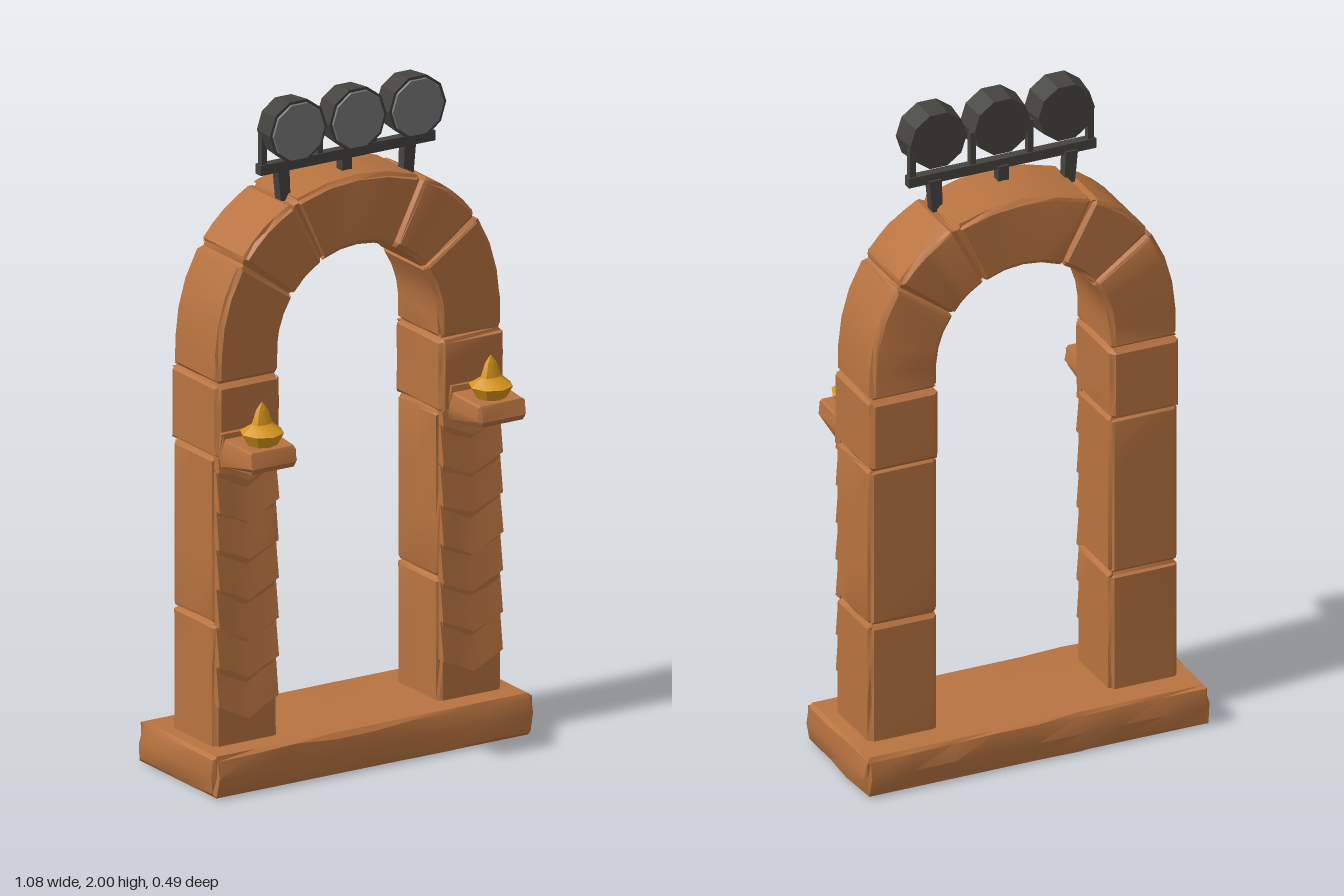
import * as THREE from 'three';
import { toCreasedNormals } from 'three/addons/utils/BufferGeometryUtils.js';

const material = (name, color) => Object.assign(new THREE.MeshStandardMaterial({ color }), { name });

// Repeatable number from 0 to 1 for a position, so shared corners stay together
function hash(x, y, z, k) {
  const r = (v) => Math.round(v * 1000);
  const s = Math.sin(r(x) * 12.99 + r(y) * 78.23 + r(z) * 37.72 + k * 11.13) * 4375.85;
  return s - Math.floor(s);
}

// Move every vertex of a geometry by a rule
function deform(geo, rule) {
  const p = geo.attributes.position;
  const v = new THREE.Vector3();
  for (let i = 0; i < p.count; i++) {
    v.fromBufferAttribute(p, i);
    rule(v);
    p.setXYZ(i, v.x, v.y, v.z);
  }
  return geo;
}

// Block with unevenly worn edges
function stone(w, h, d, segs, seed, bevel = 0.014) {
  const size = [w, h, d];
  const geo = new THREE.BoxGeometry(w, h, d, ...segs.map((n) => n + 2));
  return deform(geo, (v) => {
    const c = v.toArray();
    const edge = c.map((a, i) => Math.abs(a) > size[i] / 2 - 1e-4);
    const worn = edge.filter(Boolean).length > 1;
    const out = c.map((a, i) => {
      const half = size[i] / 2;
      const n = segs[i];
      if (edge[i]) {
        const wear = worn ? 0.2 + 0.7 * hash(...c, seed + i) : 0;
        return Math.sign(a) * (half - bevel * wear);
      }
      // Rows next to the ends sit just inside the bevel
      return n > 0 ? (a / (half * n / (n + 2))) * (half - bevel) : a;
    });
    v.fromArray(out);
  });
}

export function createModel() {
  const model = new THREE.Group();
  model.name = 'archway';
  const clay = material('clay stone', 0xb87340);
  const gold = material('gold', 0xd8961c);
  const dark = material('dark metal', 0x44433f);
  const lens = material('grey lens', 0x777777);

  function add(parent, name, geo, mat, x = 0, y = 0, z = 0) {
    const mesh = new THREE.Mesh(toCreasedNormals(geo, 0.5), mat);
    mesh.name = name;
    mesh.position.set(x, y, z);
    parent.add(mesh);
    return mesh;
  }

  // Base slab
  add(model, 'base', stone(1.08, 0.124, 0.412, [8, 0, 3], 1, 0.018), clay, 0, 0.062, -0.035);

  for (const side of [-1, 1]) {
    const pillar = new THREE.Group();
    pillar.name = side > 0 ? 'leftPillar' : 'rightPillar';
    pillar.position.x = side * 0.376;
    model.add(pillar);

    // Stacked pillar blocks
    [[0.11, 0.49, 0.222], [0.488, 0.985, 0.222], [0.98, 1.203, 0.246]].forEach(([y0, y1, d], i) => {
      add(pillar, 'pillarBlock', stone(0.214, y1 - y0, d, [1, 3, 2], 5 + i + side), clay,
        0, (y0 + y1) / 2, i === 2 ? -0.027 : -0.029);
    });

    // Overlapping V-shaped scales down the front
    for (let i = 0; i < 7; i++) {
      const scale = deform(new THREE.BoxGeometry(0.2, 0.115, 0.02, 4, 1, 1), (v) => {
        if (v.z > 0) v.z = v.y < 0 ? 0.018 + 0.005 * hash(v.x, i, side, 3) : 0.004;
        v.y += Math.abs(v.x) * 0.45 + 0.01 * (hash(v.x, i, side, 7) - 0.5);
      });
      add(pillar, 'chevronScale', scale, clay, 0, 0.257 + i * 0.117, 0.076);
    }

    // Bracket shelf, narrower to the front and underneath
    const shelf = deform(stone(0.18, 0.09, 0.16, [1, 0, 1], 20 + side, 0.012), (v) => {
      v.x *= 1 - (v.z + 0.08) * 0.7;
      if (v.y < 0) v.y += (v.z + 0.08) * 0.12;
      else v.y -= (v.z + 0.08) * 0.06;
    });
    add(pillar, 'shelf', shelf, clay, side * 0.008, 1.0, 0.164);
    add(pillar, 'shelfBack', stone(0.186, 0.11, 0.03, [1, 0, 0], 30 + side, 0.01), clay, side * 0.008, 1.01, 0.093);

    // Spiked gold ornament
    const profile = [[0, 0], [0.045, 0], [0.064, 0.035], [0.034, 0.06], [0.02, 0.1], [0, 0.125]]
      .map(([r, y]) => new THREE.Vector2(r, y));
    const flame = deform(new THREE.LatheGeometry(profile, 8), (v) => {
      if (v.y > 0.05) v.z *= 0.6;
    });
    add(pillar, 'flame', flame, gold, side * 0.008, 1.038, 0.175);
  }

  // Five arch stones, bent round the top and running straight down below the springing line
  const joints = [-1.735, -0.94, -0.46, 0.46, 0.94, 1.735];
  for (let i = 0; i < 5; i++) {
    const span = joints[i + 1] - joints[i];
    const mid = (joints[i] + joints[i + 1]) / 2;
    const rise = 0.208;
    const geo = deform(stone(span * 0.378, rise, 0.234, [4, 1, 2], 40 + i), (v) => {
      const a = mid + v.x / 0.378;
      const bulge = v.y > 0 ? 0.012 * Math.sin(2 * a) ** 2 : 0;
      const r = 0.374 + v.y + bulge;
      const t = Math.max(-Math.PI / 2, Math.min(Math.PI / 2, a));
      v.set(r * Math.sin(t), 1.262 + r * Math.cos(t) - Math.abs(a - t) * 0.378, v.z);
    });
    add(model, 'archStone', geo, clay, 0, 0, i === 2 ? -0.03 : -0.027);
  }

  // Lamp rack on the arch
  const rack = new THREE.Group();
  rack.name = 'lampRack';
  model.add(rack);
  add(rack, 'rackBar', new THREE.BoxGeometry(0.585, 0.03, 0.028), dark, 0, 1.79, 0.014);

  for (const x of [-0.205, 0, 0.205]) {
    const h = x ? 0.115 : 0.07;
    const post = deform(new THREE.BoxGeometry(0.032, h, 0.03), (v) => {
      if (x && v.y > 0) v.x = v.x * 1.2 - Math.sign(x) * -0.008;
    });
    add(rack, 'post', post, dark, x, 1.785 - h / 2, 0.008);
  }

  // Forks holding the lamps
  for (const x of [-0.278, -0.09, 0.09, 0.278]) {
    add(rack, 'fork', new THREE.BoxGeometry(0.018, 0.11, 0.02), dark, x, 1.85, 0.014);
  }

  // Round lamps with pale faces
  for (const x of [-0.2, 0, 0.2]) {
    const lamp = new THREE.Group();
    lamp.name = 'lamp';
    lamp.position.set(x, 1.906, 0);
    rack.add(lamp);
    const turn = Math.PI / 10;
    const body = new THREE.CylinderGeometry(0.096, 0.088, 0.08, 10, 1, false, turn).rotateX(Math.PI / 2);
    add(lamp, 'lampBody', body, dark, 0, 0, 0.04);
    const face = new THREE.CylinderGeometry(0.085, 0.088, 0.006, 10, 1, false, turn).rotateX(Math.PI / 2);
    add(lamp, 'lampFace', face, lens, 0, 0, 0.082);
  }
  return model;
}
